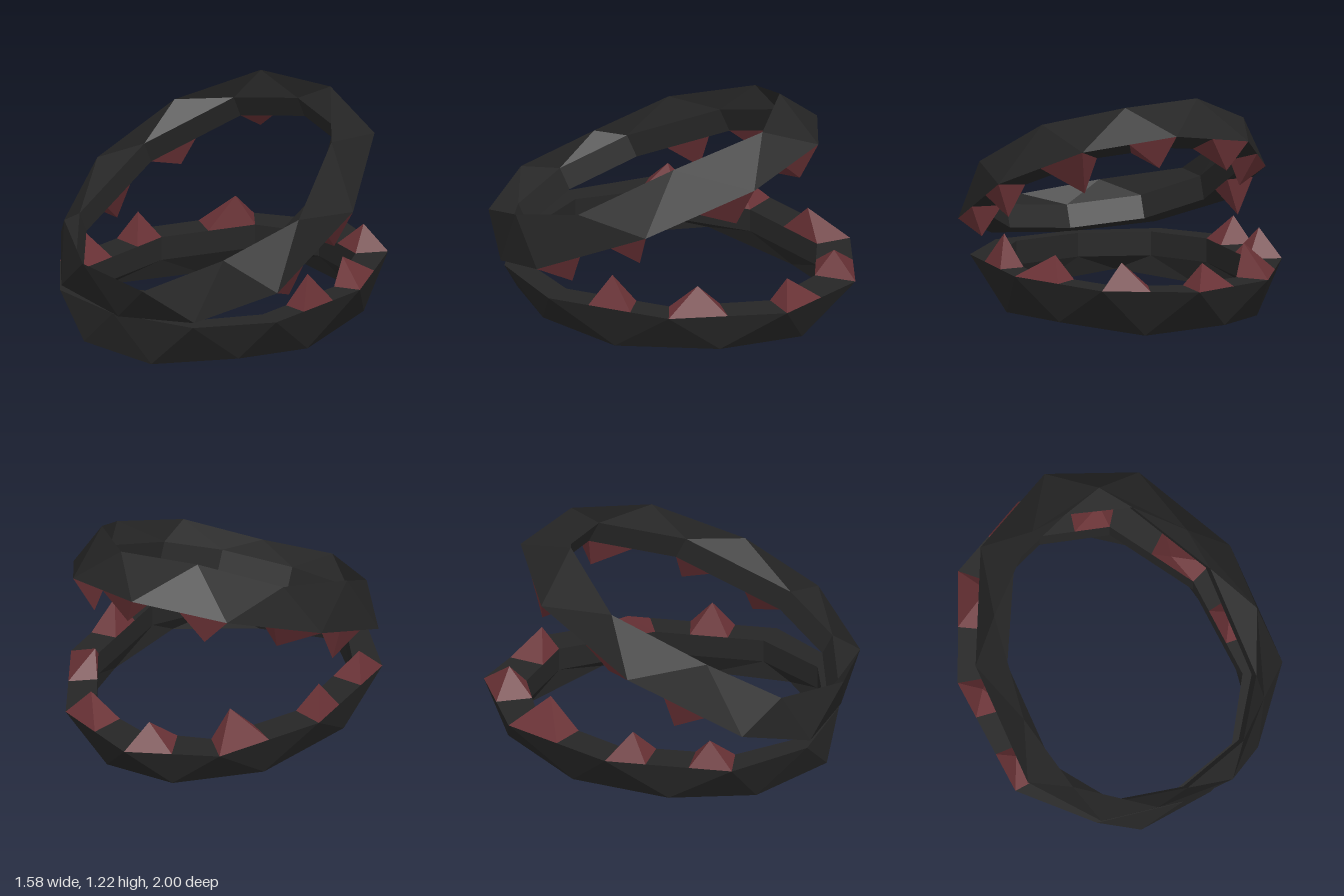
import * as THREE from 'three';

const TOP = 0.26;
// Matching corners of the ten-sided jaw, from the back round by +x: [x, z]
const outerTop = [[-0.03, -1], [0.45, -0.79], [0.74, -0.22], [0.74, 0.47], [0.46, 0.83],
  [-0.02, 0.93], [-0.48, 0.83], [-0.79, 0.47], [-0.79, -0.22], [-0.5, -0.79]];
const innerTop = [[-0.02, -0.77], [0.34, -0.65], [0.6, -0.17], [0.6, 0.42], [0.37, 0.75],
  [-0.02, 0.85], [-0.4, 0.75], [-0.61, 0.46], [-0.62, -0.17], [-0.37, -0.65]];
// Lower outer corners sit half a step further round
const outerBottom = [[0.2, -0.78], [0.57, -0.45], [0.66, 0.12], [0.56, 0.57], [0.19, 0.86],
  [-0.25, 0.9], [-0.58, 0.57], [-0.75, 0.12], [-0.57, -0.43], [-0.235, -0.835]];

// Teeth: side of the ring, start and end along it, tip position
const teeth = [
  [9, 0.5, 1, [-0.10, 0.39, -0.85]],
  [0, 0.5, 1, [0.32, 0.40, -0.74]],
  [8, 0.5, 1, [-0.44, 0.43, -0.57]],
  [1, 0.5, 1, [0.54, 0.38, -0.31]],
  [7, 0.68, 1, [-0.71, 0.41, -0.08]],
  [2, 0.32, 0.67, [0.67, 0.43, 0.13]],
  [7, 0, 0.34, [-0.72, 0.40, 0.34]],
];

const dark = new THREE.MeshStandardMaterial({ color: 0x262626, flatShading: true });
const red = new THREE.MeshStandardMaterial({ color: 0x6a3236, flatShading: true });

// Mesh from polygons, each a list of points in counter-clockwise order
function facetMesh(name, polygons, material) {
  const positions = [];
  for (const p of polygons) {
    for (let i = 1; i < p.length - 1; i++) positions.push(...p[0], ...p[i], ...p[i + 1]);
  }
  const geometry = new THREE.BufferGeometry();
  geometry.setAttribute('position', new THREE.Float32BufferAttribute(positions, 3));
  geometry.computeVertexNormals();
  const mesh = new THREE.Mesh(geometry, material);
  mesh.name = name;
  return mesh;
}

// Ring with zigzag outer facets and a bevelled underside
function createRing() {
  const at = (list, y) => list.map(([x, z], i) => [x, y(i), z]);
  const T = at(outerTop, () => TOP);
  const B = at(outerBottom, (i) => (i % 2 ? 0.04 : 0));
  const I = at(innerTop, () => TOP);
  const J = at(innerTop, () => 0.13);
  const polygons = [];
  for (let k = 0; k < 10; k++) {
    const n = (k + 1) % 10;
    polygons.push(
      [T[k], T[n], B[k]], [T[n], B[n], B[k]],
      [T[k], I[k], I[n], T[n]],
      [I[k], J[k], J[n], I[n]],
      [J[k], B[k], J[n]], [B[k], B[n], J[n]],
    );
  }
  return facetMesh('jawRing', polygons, dark);
}

// Four-sided spike whose base spans the width of the ring
function createTooth([side, start, end, tip]) {
  const on = (list, u) => {
    const a = list[side], b = list[(side + 1) % 10];
    return [a[0] + (b[0] - a[0]) * u, TOP, a[1] + (b[1] - a[1]) * u];
  };
  const base = [on(outerTop, start), on(innerTop, start), on(innerTop, end), on(outerTop, end)];
  const polygons = base.map((p, i) => [p, base[(i + 1) % 4], tip]);
  polygons.push([...base].reverse());
  return facetMesh('tooth', polygons, red);
}

function createJaw(name) {
  const jaw = new THREE.Group();
  jaw.name = name;
  jaw.add(createRing(), ...teeth.map(createTooth));
  return jaw;
}

export function createModel() {
  const model = new THREE.Group();
  model.name = 'openJaws';
  const lower = createJaw('lowerJaw');
  // Upper jaw is turned over and opened towards the back
  const upper = createJaw('upperJaw');
  upper.rotation.set(0.443, 0, Math.PI);
  upper.position.set(0, 0.887, 0.205);
  model.add(lower, upper);
  return model;
}
